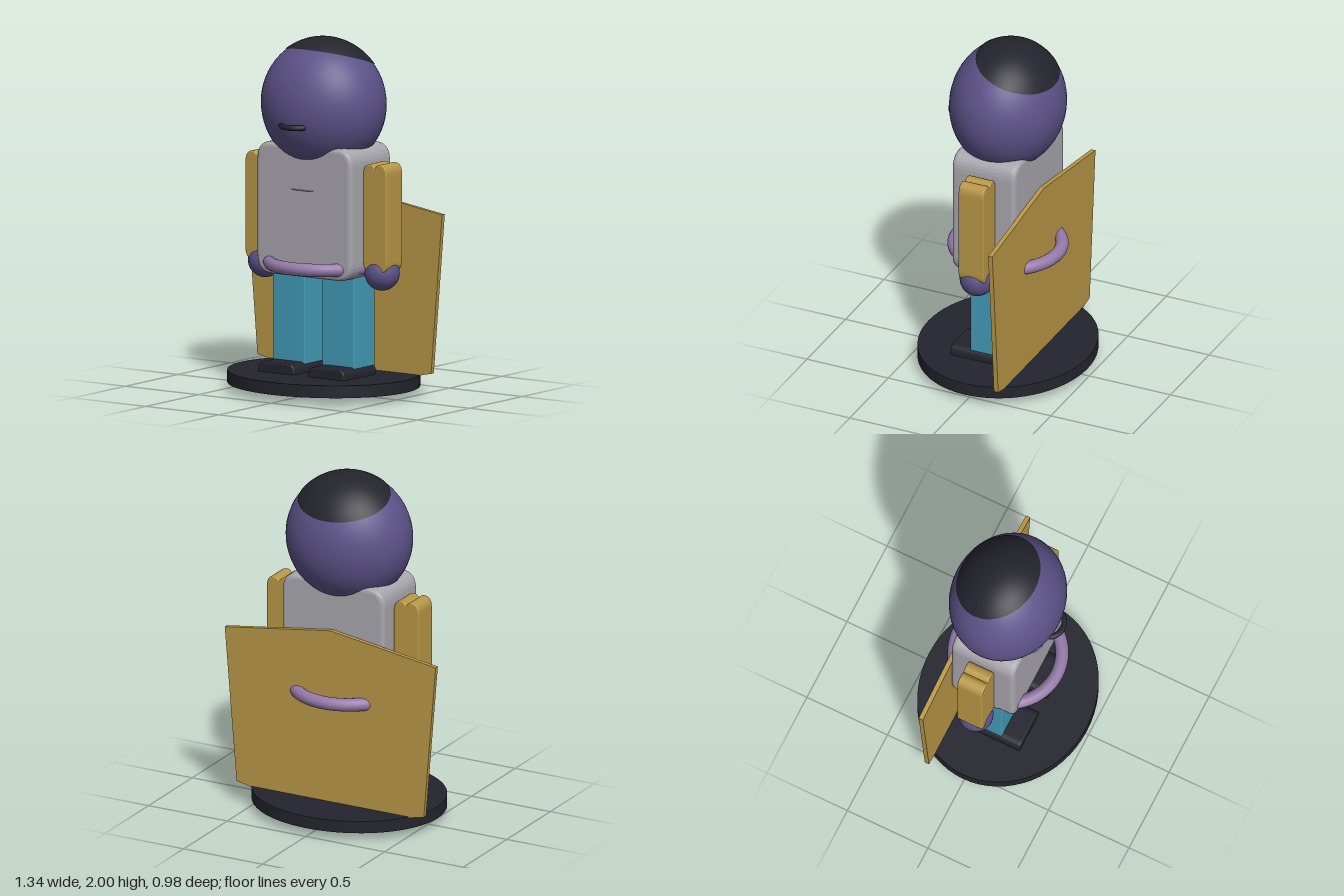
import * as THREE from 'three';

const material = (name, color) => {
  const m = new THREE.MeshStandardMaterial({ color });
  m.name = name;
  return m;
};

export function createModel() {
  const model = new THREE.Group();
  model.name = 'figure';
  const skin = material('violet skin', 0x5c5288);
  const black = material('near black', 0x24242e);
  const grey = material('grey shirt', 0xa9a7ae);
  const gold = material('gold cloth', 0xb89747);
  const teal = material('teal trousers', 0x429bb8);
  const lilac = material('lilac trim', 0x967aaa);

  const add = (name, geometry, mat, x = 0, y = 0, z = 0) => {
    const mesh = new THREE.Mesh(geometry, mat);
    mesh.name = name;
    mesh.position.set(x, y, z);
    model.add(mesh);
    return mesh;
  };

  // Extrudes a shape along z, centred, with its bevel kept inside depth
  const slab = (shape, depth, bevel) => {
    const g = new THREE.ExtrudeGeometry(shape, {
      depth: depth - 2 * bevel, curveSegments: 8, bevelEnabled: bevel > 0,
      bevelSize: bevel, bevelThickness: bevel, bevelOffset: -bevel, bevelSegments: 3,
    });
    return g.translate(0, 0, -depth / 2 + bevel);
  };

  // Rectangle with soft corners
  const softRect = (w, h, r) => {
    const x = w / 2, y = h / 2, s = new THREE.Shape();
    s.moveTo(-x + r, -y);
    s.lineTo(x - r, -y).quadraticCurveTo(x, -y, x, -y + r);
    s.lineTo(x, y - r).quadraticCurveTo(x, y, x - r, y);
    s.lineTo(-x + r, y).quadraticCurveTo(-x, y, -x, y - r);
    s.lineTo(-x, -y + r).quadraticCurveTo(-x, -y, -x + r, -y);
    return s;
  };

  // Sleeve outline with two lobes at each end
  const sleeve = (w, h) => {
    const x = w / 2, y = h / 2, s = new THREE.Shape();
    s.moveTo(0, -y + 0.02);
    s.quadraticCurveTo(0.015, -y, 0.03, -y).quadraticCurveTo(x, -y, x, -y + 0.06);
    s.lineTo(x, y - 0.06).quadraticCurveTo(x, y, 0.03, y);
    s.quadraticCurveTo(0.015, y, 0, y - 0.02).quadraticCurveTo(-0.015, y, -0.03, y);
    s.quadraticCurveTo(-x, y, -x, y - 0.06).lineTo(-x, -y + 0.06);
    s.quadraticCurveTo(-x, -y, -0.03, -y).quadraticCurveTo(-0.015, -y, 0, -y + 0.02);
    return s;
  };

  // Oval base
  const base = add('base', new THREE.CylinderGeometry(1, 1, 0.07, 64), black, 0, 0.08, 0);
  base.scale.set(0.56, 1, 0.49);

  // Head, and a hair cap tilted towards the back
  const head = add('head', new THREE.SphereGeometry(1, 48, 32), skin, 0, 1.625, 0);
  head.scale.set(0.365, 0.37, 0.32);
  const cap = new THREE.SphereGeometry(1, 48, 16, 0, Math.PI * 2, 0, 0.81);
  cap.rotateX(-0.27).scale(0.368, 0.375, 0.323);
  add('hair', cap, black, 0, 1.625, 0);

  // Mouth: a level arc bowed forwards, with rounded ends
  const mouthPoints = [];
  for (let i = -4; i <= 4; i++) {
    const a = i * 0.245;
    mouthPoints.push(new THREE.Vector3(0.09 * Math.sin(a), 1.53, 0.25 + 0.09 * Math.cos(a)));
  }
  add('mouth', new THREE.TubeGeometry(new THREE.CatmullRomCurve3(mouthPoints), 24, 0.016, 10), black);
  for (const p of [mouthPoints[0], mouthPoints[8]]) {
    add('mouthEnd', new THREE.SphereGeometry(0.016, 10, 8), black, p.x, p.y, p.z);
  }

  // Torso with belt ring and chest trim
  add('torso', slab(softRect(0.65, 0.745, 0.1), 0.39, 0.025), grey, 0, 1.0385, 0);
  add('belt', new THREE.TorusGeometry(0.301, 0.037, 16, 64).rotateX(Math.PI / 2), lilac, 0, 0.73, 0);
  const trim = new THREE.CircleGeometry(1, 24).rotateX(-Math.PI / 2).scale(0.08, 1, 0.03);
  lilac.side = THREE.DoubleSide;
  add('chestTrim', trim, lilac, 0, 1.16, 0.196);

  // Arms, hands, legs and feet
  for (const [side, s] of [['left', 1], ['right', -1]]) {
    add(side + 'Arm', slab(sleeve(0.16, 0.61), 0.155, 0.008), gold, s * 0.404, 1.02, 0);
    add(side + 'Hand', new THREE.SphereGeometry(0.098, 32, 20), skin, s * 0.4, 0.705, 0);
    add(side + 'Leg', slab(softRect(0.22, 0.55, 0.015), 0.2, 0.008), teal, s * 0.17, 0.42, 0);
    add(side + 'Foot', slab(softRect(0.248, 0.1, 0.045), 0.31, 0.01), black, s * 0.172, 0.122, 0.063);
  }

  // Stiff cape behind the back, reaching down through the base
  const outline = [[0, 0], [0.595, 0.13], [0.67, 1.032], [0, 1.13], [-0.67, 1.032], [-0.595, 0.13]];
  const capeShape = new THREE.Shape(outline.map(([x, y]) => new THREE.Vector2(x, y)));
  add('cape', slab(capeShape, 0.026, 0), gold, 0, 0, -0.208);

  return model;
}
